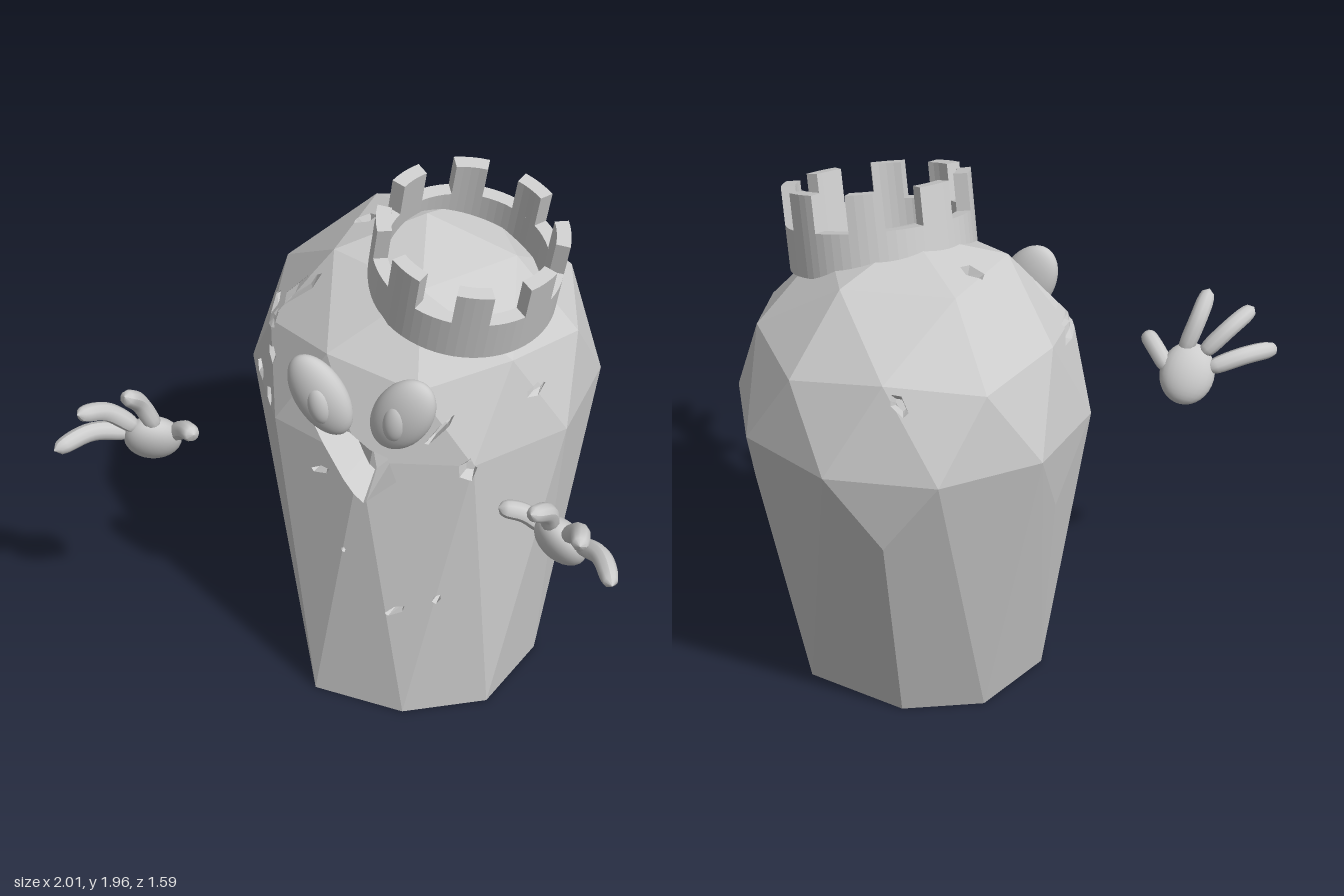
import * as THREE from 'three';
import { ConvexGeometry } from 'three/addons/geometries/ConvexGeometry.js';

const grey = new THREE.MeshStandardMaterial({ color: 0xcccccc });
const facet = new THREE.MeshStandardMaterial({ color: 0xcccccc, flatShading: true });
const V = (x, y, z) => new THREE.Vector3(x, y, z);
const rad = THREE.MathUtils.degToRad;

function add(parent, name, geometry, material) {
  const mesh = new THREE.Mesh(geometry, material);
  mesh.name = name;
  parent.add(mesh);
  return mesh;
}

// Body: geodesic dome over a stone trunk that tapers to an eight-sided foot
function bodyTriangles() {
  const R = 0.63, points = [];
  const ring = (lat, start, step) => {
    for (let a = start; a < start + 360; a += step) {
      const r = R * Math.cos(rad(lat));
      points.push(V(r * Math.cos(rad(a)), 1.15 + R * Math.sin(rad(lat)), -0.17 - r * Math.sin(rad(a))));
    }
  };
  ring(90, 0, 360);
  ring(58.28, 0, 72);
  ring(31.72, 36, 72);
  ring(26.57, 0, 72);
  ring(0, 18, 36);
  // facets below the widest ring, only on the back and right
  points.push(V(0.455, 0.87, -0.5), V(-0.174, 0.87, -0.705), V(-0.563, 0.87, -0.17));
  const foot = [[-0.41, 0.08], [-0.2, 0.45], [0.15, 0.45], [0.42, 0.28], [0.49, -0.06], [0.31, -0.4], [-0.09, -0.43], [-0.34, -0.26]];
  for (const [x, z] of foot) points.push(V(x, 0, z));

  const pos = new ConvexGeometry(points).getAttribute('position');
  const tris = [];
  for (let i = 0; i < pos.count; i += 3) {
    tris.push([0, 1, 2].map(k => new THREE.Vector3().fromBufferAttribute(pos, i + k)));
  }
  return tris;
}

// Split a polygon by the line a-b into the parts left and right of it
function split(poly, a, b) {
  const side = p => (b[0] - a[0]) * (p.y - a[1]) - (b[1] - a[1]) * (p.x - a[0]);
  const left = [], right = [];
  poly.forEach((p, i) => {
    const q = poly[(i + 1) % poly.length], s = side(p), t = side(q);
    if (s >= 0) left.push(p);
    if (s <= 0) right.push(p);
    if (s * t < 0) {
      const m = p.clone().lerp(q, s / (s - t));
      left.push(m);
      right.push(m);
    }
  });
  return [left, right];
}

const fan = poly => poly.slice(2).map((p, i) => [poly[0], poly[i + 1], p]);

// Chip a convex outline out of the surface around `at`, leaving a pit
function chip(tris, pits, at, normal, outline, depth) {
  const turn = new THREE.Quaternion().setFromUnitVectors(normal.clone().normalize(), V(0, 0, 1));
  const back = turn.clone().invert();
  const world = t => t.map(p => p.clone().applyQuaternion(back).add(at));
  const result = [];
  for (const tri of tris) {
    const local = tri.map(p => p.clone().sub(at).applyQuaternion(turn));
    const n = local[1].clone().sub(local[0]).cross(local[2].clone().sub(local[0])).normalize();
    let inside = local;
    const rest = [];
    if (n.z > 0.1) {
      outline.forEach((a, i) => {
        if (inside.length < 3) return;
        const [l, r] = split(inside, a, outline[(i + 1) % outline.length]);
        if (r.length > 2) rest.push(...fan(r));
        inside = l;
      });
    }
    if (n.z <= 0.1 || inside.length < 3) {
      result.push(tri);
      continue;
    }
    result.push(...rest.map(world));
    // pit floor and walls
    const sink = p => V(p.x * 0.55, p.y * 0.55, p.z - depth);
    pits.push(...fan(inside.map(sink)).map(world));
    inside.forEach((p, i) => {
      const q = inside[(i + 1) % inside.length];
      const onEdge = outline.some((a, k) => {
        const b = outline[(k + 1) % outline.length], len = Math.hypot(b[0] - a[0], b[1] - a[1]);
        return [p, q].every(c => Math.abs((b[0] - a[0]) * (c.y - a[1]) - (b[1] - a[1]) * (c.x - a[0])) < 1e-6 * len);
      });
      if (onEdge) pits.push(world([p, q, sink(q)]), world([p, sink(q), sink(p)]));
    });
  }
  return result;
}

// Irregular convex outline, its corners lying on a turned ellipse
function shard(w, h, angle) {
  return [10, 75, 160, 215, 300].map(a => {
    const x = w * Math.cos(rad(a)), y = h * Math.sin(rad(a)), c = Math.cos(rad(angle)), s = Math.sin(rad(angle));
    return [x * c - y * s, x * s + y * c];
  });
}

function triangleGeometry(tris) {
  const g = new THREE.BufferGeometry().setFromPoints(tris.flat());
  g.computeVertexNormals();
  return g;
}

function addBody(group) {
  let tris = bodyTriangles();
  const pits = [], front = V(0, 0, 1);
  const mouth = [[-0.2, 0.1], [-0.07, -0.06], [0.01, -0.13], [0.12, -0.03], [0.09, 0.07], [-0.05, 0.14]];
  tris = chip(tris, pits, V(0, 1.1, 0.4), front, mouth, 0.12);
  // x, y, half width, half height, turn
  const chips = [
    [-0.47, 1.43, 0.05, 0.035, 30], [-0.36, 1.55, 0.1, 0.018, 42], [-0.43, 1.33, 0.025, 0.03, 0],
    [-0.52, 1.18, 0.03, 0.035, 20], [-0.43, 1.17, 0.022, 0.04, 0], [0.25, 1.28, 0.07, 0.013, 52],
    [0.35, 1.13, 0.03, 0.05, 0], [0.5, 1.34, 0.02, 0.025, 0], [0.12, 0.49, 0.04, 0.018, 30],
    [0.26, 0.55, 0.013, 0.025, -20], [-0.17, 1.03, 0.045, 0.016, 25], [-0.07, 0.73, 0.008, 0.014, 0]];
  for (const [x, y, w, h, turn] of chips) tris = chip(tris, pits, V(x, y, 0.3), front, shard(w, h, turn), 0.04);
  tris = chip(tris, pits, V(-0.23, 1.68, -0.18), V(-0.4, 1, 0), shard(0.045, 0.035, 30), 0.03);
  tris = chip(tris, pits, V(-0.22, 1.42, -0.67), V(-0.3, 0.4, -1), shard(0.045, 0.025, 20), 0.03);
  add(group, 'body', triangleGeometry(tris), facet);
  add(group, 'mouthAndChips', triangleGeometry(pits), facet);
}

// Crown: tilted battlement ring with eight merlons
function addCrown(group) {
  const crown = new THREE.Group();
  crown.name = 'crown';
  const outer = 0.33, inner = 0.28;
  const extrude = (shape, depth, curveSegments) =>
    new THREE.ExtrudeGeometry(shape, { depth, curveSegments, bevelEnabled: false }).rotateX(-Math.PI / 2);
  const band = new THREE.Shape().absarc(0, 0, outer, 0, Math.PI * 2);
  band.holes.push(new THREE.Path().absarc(0, 0, inner, 0, Math.PI * 2, true));
  add(crown, 'crownBand', extrude(band, 0.16, 32), facet);
  const half = rad(11);
  const block = new THREE.Shape().absarc(0, 0, outer, -half, half).absarc(0, 0, inner, half, -half, true);
  const merlon = extrude(block, 0.13, 2);
  for (let i = 0; i < 8; i++) {
    const m = add(crown, 'merlon', merlon, facet);
    m.position.y = 0.16;
    m.rotation.y = rad(22.5 + 45 * i);
  }
  crown.position.set(0.175, 1.6, -0.05);
  crown.quaternion.setFromUnitVectors(V(0, 1, 0), V(0.2, 1, 0.165).normalize());
  group.add(crown);
}

// Finger: curved tube whose ends round off
function fingerGeometry(from, mid, to, radius) {
  const n = 14, sides = 10;
  const curve = new THREE.CatmullRomCurve3([from, mid, to]);
  const g = new THREE.TubeGeometry(curve, n, radius, sides);
  const pos = g.getAttribute('position'), p = V(0, 0, 0);
  for (let i = 0; i < pos.count; i++) {
    const t = Math.floor(i / (sides + 1)) / n;
    const s = Math.sqrt(Math.max(0, 1 - Math.abs(2 * t - 1) ** 5));
    const c = curve.getPointAt(t);
    p.fromBufferAttribute(pos, i).sub(c).multiplyScalar(s).add(c);
    pos.setXYZ(i, p.x, p.y, p.z);
  }
  g.computeVertexNormals();
  return g;
}

function addHand(group, side, name, tips) {
  const hand = new THREE.Group();
  hand.name = name;
  const palm = add(hand, 'palm', new THREE.SphereGeometry(1, 24, 16), grey);
  palm.scale.set(0.1, 0.115, 0.065);
  palm.position.set(side * 0.75, 1.1, 0.54);
  palm.rotation.set(0.55, -0.4 * side, 0);
  const roots = [[0.69, 1.11, 0.51], [0.72, 1.16, 0.56], [0.78, 1.16, 0.58], [0.81, 1.12, 0.56]];
  roots.forEach((r, i) => {
    const a = V(side * r[0], r[1], r[2]), b = V(side * tips[i][0], tips[i][1], tips[i][2]);
    const mid = a.clone().lerp(b, 0.5).add(i ? V(side * 0.015, 0.025, -0.02) : V(0, 0.015, -0.01));
    add(hand, i ? 'finger' : 'thumb', fingerGeometry(a, mid, b, 0.033), grey);
  });
  group.add(hand);
}

export function createModel() {
  const group = new THREE.Group();
  group.name = 'towerCreature';
  addBody(group);
  addCrown(group);

  // Eyes: flat ovals leaning outwards, with raised pupils
  const ball = new THREE.SphereGeometry(1, 32, 20);
  for (const side of [-1, 1]) {
    const eye = add(group, side > 0 ? 'leftEye' : 'rightEye', ball, grey);
    eye.position.set(side * 0.15, 1.38, 0.437);
    eye.scale.set(0.1, 0.162, 0.06);
    eye.rotation.z = -side * 0.5;
    const pupil = add(group, side > 0 ? 'leftPupil' : 'rightPupil', ball, grey);
    pupil.position.set(side * 0.137, 1.37, 0.475);
    pupil.scale.set(0.043, 0.077, 0.034);
    pupil.rotation.z = -side * 0.15;
  }

  addHand(group, 1, 'leftHand', [[0.54, 1.2, 0.57], [0.7, 1.335, 0.72], [0.88, 1.29, 0.76], [0.995, 1.16, 0.76]]);
  addHand(group, -1, 'rightHand', [[0.56, 1.2, 0.59], [0.76, 1.38, 0.69], [0.91, 1.31, 0.76], [1, 1.15, 0.79]]);
  return group;
}
